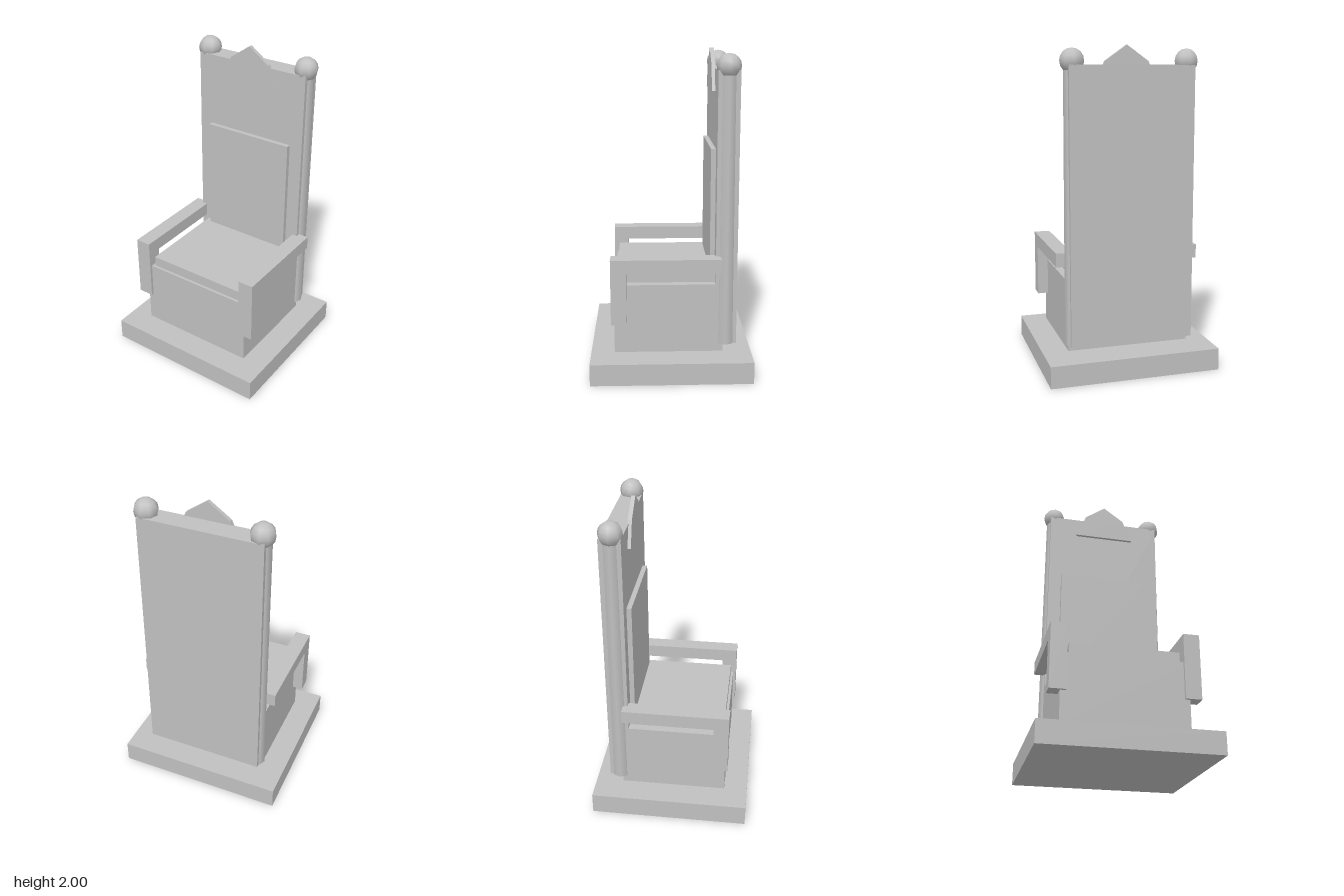
import * as THREE from 'three';

const stone = new THREE.MeshStandardMaterial({ color: 0xc0c0c0 });
stone.name = 'stone grey';

function add(parent, name, geometry) {
  const mesh = new THREE.Mesh(geometry, stone);
  mesh.name = name;
  parent.add(mesh);
  return mesh;
}

// Box given by its extents on each axis
function block(parent, name, [x0, x1], [y0, y1], [z0, z1]) {
  const mesh = add(parent, name, new THREE.BoxGeometry(x1 - x0, y1 - y0, z1 - z0));
  mesh.position.set((x0 + x1) / 2, (y0 + y1) / 2, (z0 + z1) / 2);
  return mesh;
}

function plate(points, depth) {
  const shape = new THREE.Shape(points.map(([x, y]) => new THREE.Vector2(x, y)));
  return new THREE.ExtrudeGeometry(shape, { depth, bevelEnabled: false });
}

export function createModel() {
  const throne = new THREE.Group();
  throne.name = 'throne';

  // Plinth and seat
  block(throne, 'plinth', [-0.535, 0.535], [0, 0.137], [-0.5, 0.5]);
  block(throne, 'seat', [-0.385, 0.385], [0.155, 0.59], [-0.318, 0.352]);
  block(throne, 'cushion', [-0.335, 0.335], [0.59, 0.657], [-0.29, 0.335]);

  // Tall back with raised panel and pointed crest
  block(throne, 'backrest', [-0.385, 0.385], [0.205, 1.882], [-0.402, -0.27]);
  block(throne, 'backPanel', [-0.3, 0.3], [0.645, 1.412], [-0.285, -0.24]);
  const crest = add(throne, 'crest', plate(
    [[-0.2, 1.75], [0.2, 1.75], [0.135, 1.905], [0, 2], [-0.135, 1.905]], 0.025));
  crest.position.z = -0.275;

  for (const [side, s] of [['left', 1], ['right', -1]]) {
    // Tapered back post with ball finial
    const post = add(throne, side + 'Post', new THREE.CylinderGeometry(0.052, 0.058, 1.677, 8));
    post.position.set(s * 0.352, 1.0435, -0.335);
    const finial = add(throne, side + 'Finial', new THREE.SphereGeometry(0.074, 8, 8));
    finial.position.set(s * 0.352, 1.905, -0.335);

    // L-shaped armrest, profile drawn in the z-y plane
    const arm = add(throne, side + 'Armrest', plate(
      [[-0.37, 0.358], [-0.275, 0.358], [-0.275, 0.682], [0.3, 0.682], [0.3, 0.767], [-0.37, 0.767]], 0.1));
    arm.rotation.y = Math.PI / 2;
    arm.position.x = s * 0.402 - 0.05;
  }
  return throne;
}
